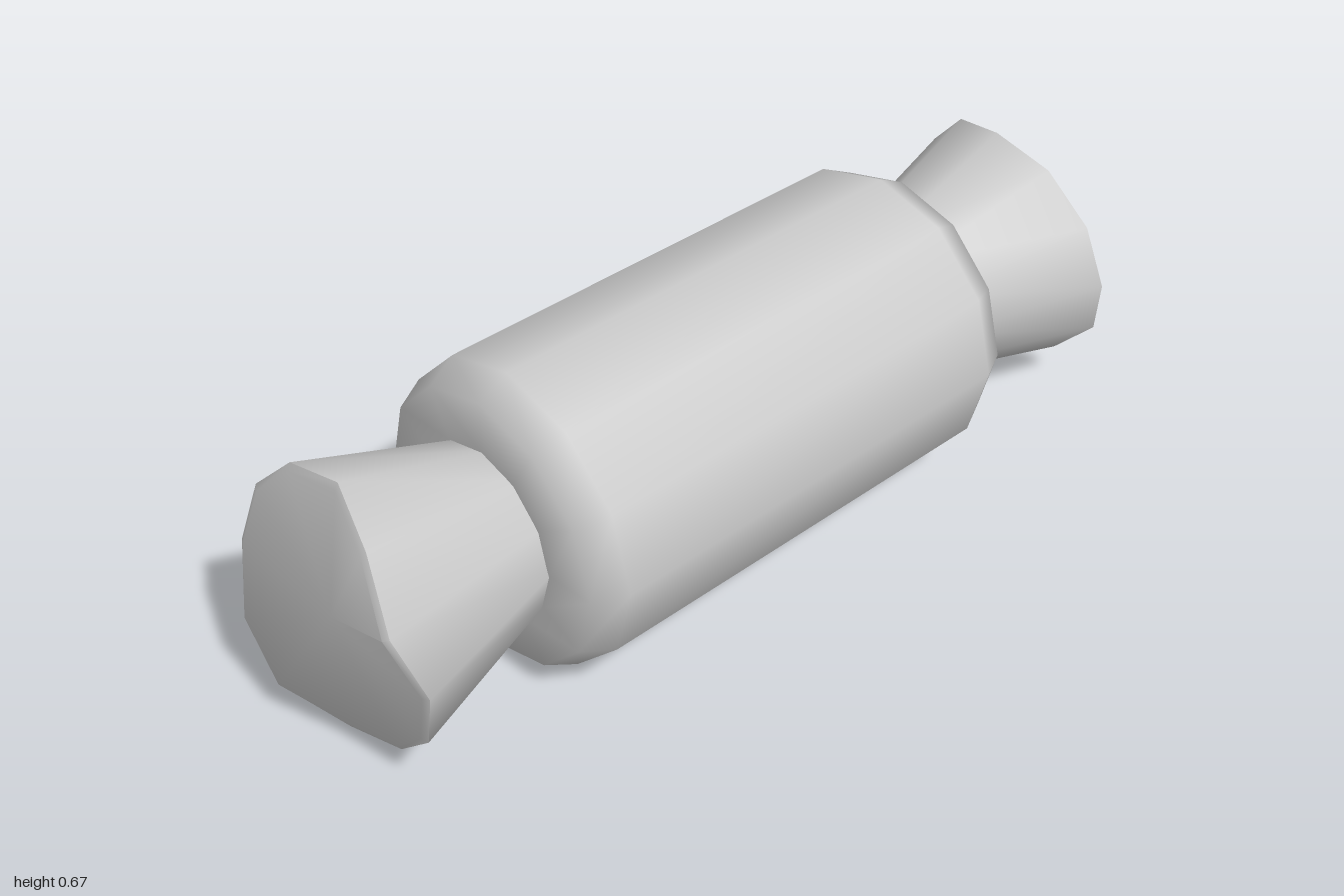
import * as THREE from 'three';
import { toCreasedNormals } from 'three/addons/utils/BufferGeometryUtils.js';

const SIDES = 12;
const MID_Y = 0.336;
// Distance of each rim corner from the middle, clockwise from the top
const RIM = [0.91, 0.96, 1, 0.955, 0.94, 0.93, 0.945, 1, 0.995, 0.955, 0.93, 0.915];

// Barrel with bevelled ends, turned to lie along x
function bodyGeometry() {
  const profile = [
    [0, -0.585], [0.19, -0.585], [0.3, -0.58], [0.335, -0.51],
    [0.335, 0.51], [0.3, 0.58], [0.19, 0.585], [0, 0.585],
  ].map(([r, y]) => new THREE.Vector2(r, y));
  return new THREE.LatheGeometry(profile, SIDES).rotateZ(-Math.PI / 2);
}

// Flared wrapper end with a wavy rim, a small bevel and a closed cap
function tailGeometry() {
  const rings = [
    { r: 0.175, x: () => 0.54 },
    { r: 0.294, x: i => RIM[i] - 0.008 },
    { r: 0.28, x: i => RIM[i] },
  ];
  const positions = [];
  const indices = [];
  rings.forEach(({ r, x }) => {
    for (let i = 0; i < SIDES; i++) {
      const t = (i / SIDES) * Math.PI * 2 + 0.02;
      positions.push(x(i), r * Math.cos(t), -r * Math.sin(t));
    }
  });
  const centre = rings.length * SIDES;
  positions.push(0.95, 0, 0);
  for (let i = 0; i < SIDES; i++) {
    const j = (i + 1) % SIDES;
    for (let k = 0; k < rings.length - 1; k++) {
      const a = k * SIDES + i, b = k * SIDES + j;
      indices.push(a, a + SIDES, b, b, a + SIDES, b + SIDES);
    }
    indices.push(centre, centre - SIDES + j, centre - SIDES + i);
  }
  const geometry = new THREE.BufferGeometry();
  geometry.setAttribute('position', new THREE.Float32BufferAttribute(positions, 3));
  geometry.setIndex(indices);
  return toCreasedNormals(geometry, 0.9);
}

export function createModel() {
  const group = new THREE.Group();
  group.name = 'wrappedSweet';
  const material = new THREE.MeshStandardMaterial({ color: 0xcccccc });

  const body = new THREE.Mesh(bodyGeometry(), material);
  body.name = 'body';
  body.position.y = MID_Y;
  group.add(body);

  // The second wrapper end is the first turned half way round
  const tail = tailGeometry();
  [['leftWrapperEnd', 0], ['rightWrapperEnd', Math.PI]].forEach(([name, turn]) => {
    const mesh = new THREE.Mesh(tail, material);
    mesh.name = name;
    mesh.position.y = MID_Y;
    mesh.rotation.y = turn;
    group.add(mesh);
  });
  return group;
}
